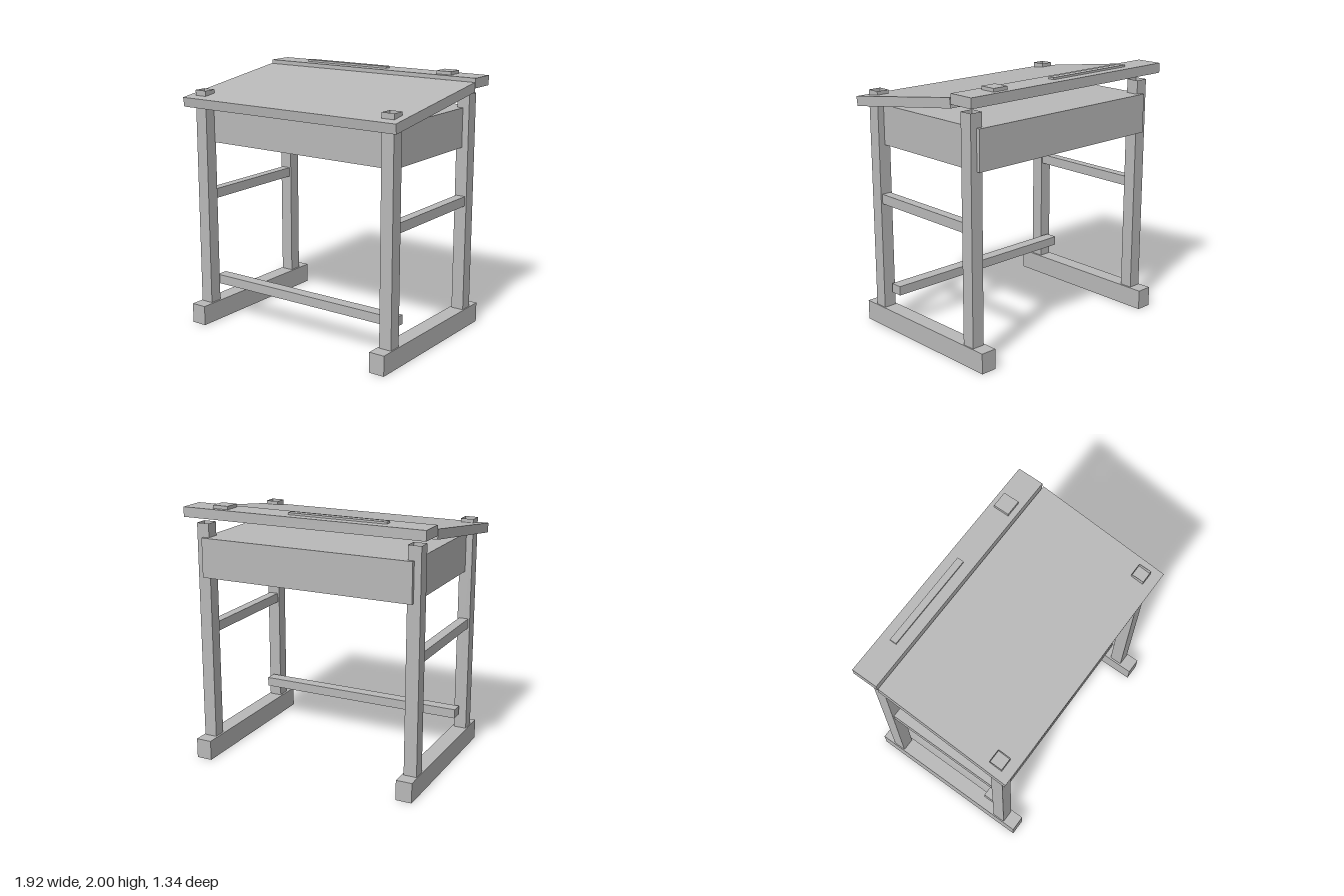
import * as THREE from 'three';

// Indices of box sides in BoxGeometry order: +x, -x, +y, -y, +z, -z
const TOP = 2, BOTTOM = 3;

// Box given by its min/max extents, optionally with some sides left open
function boxBetween([x0, x1], [y0, y1], [z0, z1], open = []) {
  const g = new THREE.BoxGeometry(x1 - x0, y1 - y0, z1 - z0);
  const index = Array.from(g.index.array);
  g.setIndex(index.filter((_, i) => !open.includes(Math.floor(i / 6))));
  g.clearGroups();
  g.translate((x0 + x1) / 2, (y0 + y1) / 2, (z0 + z1) / 2);
  return g;
}

export function createModel() {
  const model = new THREE.Group();
  model.name = 'schoolDesk';

  const grey = new THREE.MeshStandardMaterial({ color: 0xb8b8b8, side: THREE.DoubleSide });
  grey.name = 'grey';

  const add = (name, geometry) => {
    const mesh = new THREE.Mesh(geometry, grey);
    mesh.name = name;
    model.add(mesh);
    return mesh;
  };

  // Side frames: foot runner, two hollow legs and a rail between them
  for (const [side, s] of [['left', 1], ['right', -1]]) {
    const across = (inner, outer) => (s > 0 ? [inner, outer] : [-outer, -inner]);
    add(`${side}Foot`, boxBetween(across(0.782, 0.906), [0, 0.155], [-0.668, 0.668], [BOTTOM]));
    add(`${side}FrontLeg`, boxBetween(across(0.797, 0.897), [0, 1.848], [0.465, 0.565], [TOP, BOTTOM]));
    add(`${side}BackLeg`, boxBetween(across(0.797, 0.897), [0, 1.848], [-0.562, -0.462], [TOP, BOTTOM]));
    add(`${side}Rail`, boxBetween(across(0.81, 0.884), [0.99, 1.065], [-0.462, 0.465], [BOTTOM]));
  }

  // Foot bar across the front
  add('footBar', boxBetween([-0.845, 0.845], [0.276, 0.348], [0.338, 0.434], [BOTTOM]));

  // Storage box and the panel behind the back legs
  add('storageBox', boxBetween([-0.845, 0.845], [1.44, 1.742], [-0.562, 0.475]));
  add('backPanel', boxBetween([-0.845, 0.845], [1.44, 1.742], [-0.59, -0.562]));

  // Sloping lid
  const lid = add('lid', new THREE.BoxGeometry(1.916, 0.073, 1.075));
  lid.position.set(0, 1.834, 0.104);
  lid.rotation.x = Math.atan2(0.15, 1.065);

  // Flat shelf along the back with a pen tray and an inkwell cover
  add('backShelf', boxBetween([-0.958, 0.958], [1.9, 1.975], [-0.64, -0.434]));
  add('penTray', boxBetween([-0.64, 0.122], [1.975, 1.99], [-0.566, -0.514]));
  add('inkwellCover', boxBetween([0.6, 0.725], [1.975, 2.0], [-0.602, -0.478]));

  return model;
}
